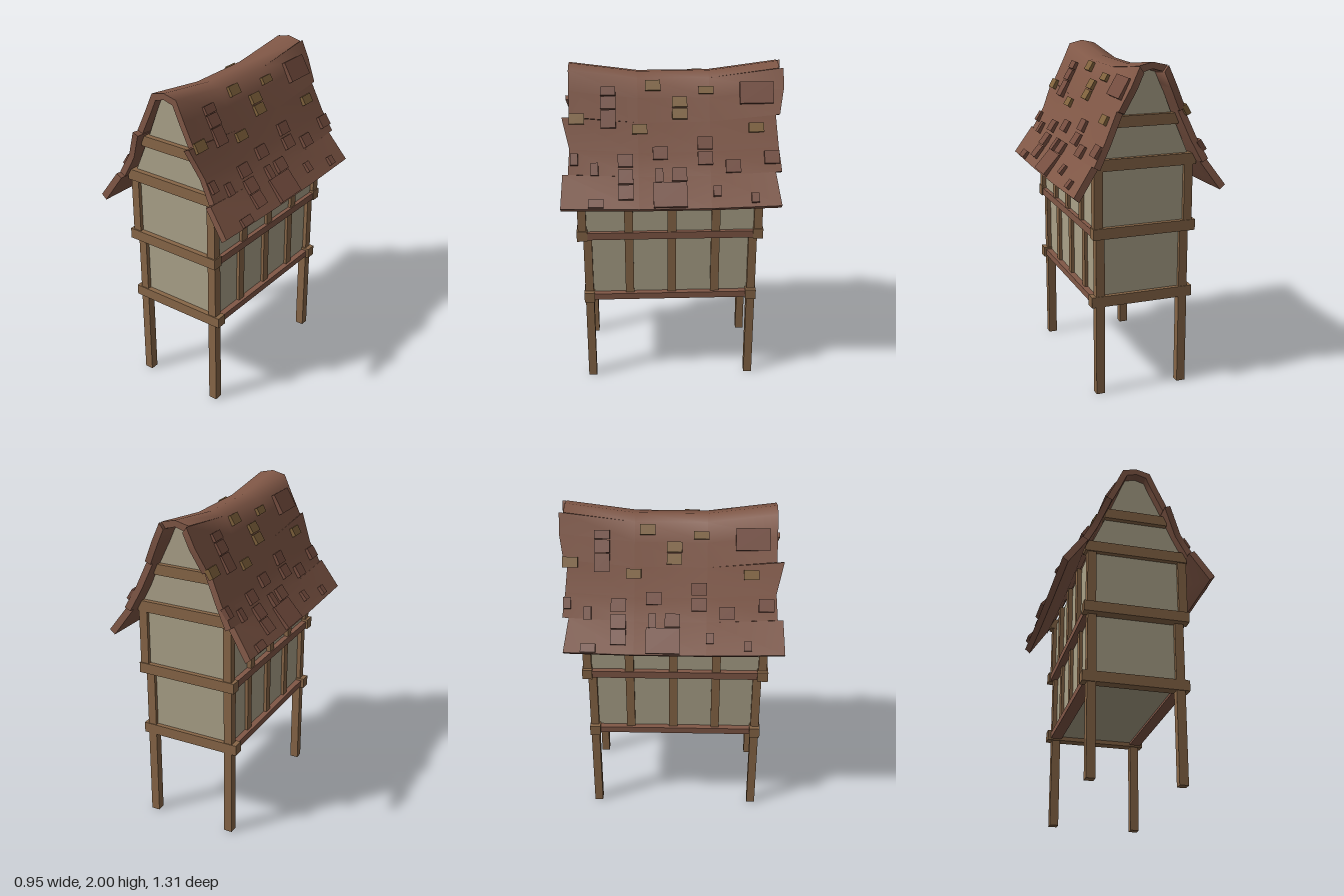
import * as THREE from 'three';
import { toCreasedNormals } from 'three/addons/utils/BufferGeometryUtils.js';

const mat = (name, color) => {
  const m = new THREE.MeshStandardMaterial({ color });
  m.name = name;
  return m;
};

// Roof half-profile at the gable ends, ridge to eave: outer and inner skin
const OUTER = [[0, 2], [0.085, 1.98], [0.135, 1.87], [0.2, 1.735], [0.275, 1.565], [0.345, 1.435], [0.462, 1.27]];
const INNER = [[0, 1.962], [0.06, 1.945], [0.1, 1.855], [0.165, 1.72], [0.24, 1.55], [0.31, 1.415], [0.43, 1.242]];
// Ragged ends of each roof strip: z at its upper and lower edge
const FRONT = [[0.6, 0.6], [0.6, 0.6], [0.6, 0.6], [0.642, 0.6], [0.6, 0.61], [0.642, 0.655]];
const BACK = [[-0.63, -0.63], [-0.655, -0.655], [-0.655, -0.63], [-0.605, -0.62], [-0.62, -0.637], [-0.6, -0.63]];

// How far the ridge sags along z (0 at the ends, 1 in the middle)
const sagAt = (z) => THREE.MathUtils.clamp(z > 0 ? 1 - (z - 0.2) / 0.4 : 1 - (-0.22 - z) / 0.41, 0, 1);
const sagged = (y, z) => y - sagAt(z) * (0.06 * y - 0.065);

function roofGeometry() {
  const pos = [];
  const quad = (a, b, c, d) => pos.push(...a, ...b, ...c, ...a, ...c, ...d);
  for (const side of [1, -1]) {
    for (let i = 0; i < 6; i++) {
      const rings = [FRONT[i], [0.2, 0.2], [-0.22, -0.22], BACK[i]].map(([zA, zB]) => {
        const ring = [[OUTER[i], zA], [OUTER[i + 1], zB], [INNER[i + 1], zB], [INNER[i], zA]]
          .map(([p, z]) => [side * p[0], sagged(p[1], z), z]);
        return side > 0 ? ring : ring.reverse();
      });
      const [f, b] = [rings[0], rings[3]];
      quad(f[0], f[3], f[2], f[1]);
      quad(b[0], b[1], b[2], b[3]);
      for (let r = 0; r < 3; r++) {
        for (let k = 0; k < 4; k++) {
          const n = (k + 1) % 4;
          quad(rings[r][k], rings[r][n], rings[r + 1][n], rings[r + 1][k]);
        }
      }
    }
  }
  const g = new THREE.BufferGeometry();
  g.setAttribute('position', new THREE.Float32BufferAttribute(pos, 3));
  g.computeVertexNormals();
  return toCreasedNormals(g, 1.05);
}

// Point on the outer roof skin at a given height and z
function onRoof(y, z) {
  const s = sagAt(z);
  const ye = (y - 0.065 * s) / (1 - 0.06 * s);
  let i = 0;
  while (i < 5 && OUTER[i + 1][1] > ye) i++;
  const [a, b] = [OUTER[i], OUTER[i + 1]];
  return new THREE.Vector2(a[0] + (b[0] - a[0]) * (ye - a[1]) / (b[1] - a[1]), y);
}

// Loose shingles: [z centre, top y, bottom y, width]
const W = 0.088, N = 0.045;
const RED_TILES = [
  [0.372, 1.885, 1.84, W], [0.372, 1.835, 1.77, W], [0.372, 1.765, 1.67, W],
  [-0.495, 1.905, 1.79, 0.196], [0.573, 1.54, 1.48, N], [0.456, 1.49, 1.425, N],
  [0.276, 1.53, 1.465, W], [0.276, 1.45, 1.38, W], [0.276, 1.375, 1.305, W],
  [0.072, 1.565, 1.5, W], [0.08, 1.455, 1.385, N], [-0.037, 1.455, 1.39, W],
  [0.018, 1.385, 1.265, 0.196], [-0.19, 1.615, 1.55, W], [-0.19, 1.535, 1.47, W],
  [-0.255, 1.365, 1.315, N], [-0.352, 1.495, 1.43, W], [-0.475, 1.33, 1.285, N],
  [-0.578, 1.54, 1.475, W], [0.45, 1.31, 1.27, W],
];
const GOLD_TILES = [
  [0.11, 1.915, 1.86, W], [-0.045, 1.825, 1.772, W], [-0.045, 1.765, 1.71, W], [-0.2, 1.88, 1.84, W],
  [0.555, 1.75, 1.695, W], [0.19, 1.685, 1.635, W], [-0.49, 1.69, 1.64, W],
];

export function createModel() {
  const plaster = mat('plaster', 0xaaa188);
  const timber = mat('timber', 0x876647);
  const roofBrown = mat('roofBrown', 0x805746);
  const tileRed = mat('tileRed', 0x754d3f);
  const tileGold = mat('tileGold', 0x80623c);
  const model = new THREE.Group();

  const add = (name, geometry, material, parent = model) => {
    const m = new THREE.Mesh(geometry, material);
    m.name = name;
    parent.add(m);
    return m;
  };
  // Box from its minimum and maximum on each axis
  const box = (name, material, x0, x1, y0, y1, z0, z1) => {
    const m = add(name, new THREE.BoxGeometry(x1 - x0, y1 - y0, z1 - z0), material);
    m.position.set((x0 + x1) / 2, (y0 + y1) / 2, (z0 + z1) / 2);
    return m;
  };

  // Plaster storeys
  box('lowerStorey', plaster, -0.258, 0.268, 0.585, 1.0, -0.49, 0.515);
  box('upperStorey', plaster, -0.27, 0.288, 1.0, 1.42, -0.517, 0.547);

  // Corner posts and stilts
  for (const [x0, x1] of [[-0.285, -0.232], [0.24, 0.293]])
    for (const [z0, z1] of [[0.49, 0.541], [-0.513, -0.462]]) box('stiltPost', timber, x0, x1, 0, 1.0, z0, z1);
  for (const [x0, x1] of [[-0.295, -0.243], [0.26, 0.313]])
    for (const [z0, z1] of [[0.52, 0.57], [-0.54, -0.49]]) box('upperPost', timber, x0, x1, 1.03, 1.4, z0, z1);

  // Cross beams on both gable ends
  for (const [z0, z1] of [[0.483, 0.547], [-0.517, -0.452]]) box('floorBeam', timber, -0.315, 0.32, 0.56, 0.625, z0, z1);
  for (const [z0, z1] of [[0.514, 0.578], [-0.546, -0.486]]) {
    box('middleBeam', timber, -0.315, 0.32, 0.985, 1.05, z0, z1);
    box('tieBeam', timber, -0.312, 0.316, 1.385, 1.453, z0, z1);
    box('collarBeam', timber, -0.195, 0.195, 1.63, 1.695, z0, z1);
  }

  // Long side rails and studs
  for (const s of [1, -1]) {
    const rail = (name, material, xIn, xOut, y0, y1, z0, z1) => {
      const a = s * xIn + 0.005, b = s * xOut + 0.005;
      box(name, material, Math.min(a, b), Math.max(a, b), y0, y1, z0, z1);
    };
    rail('lowerRail', roofBrown, 0.23, 0.3, 0.57, 0.61, -0.46, 0.49);
    rail('middleRail', roofBrown, 0.24, 0.308, 0.99, 1.035, -0.49, 0.52);
    for (const z of [0.265, 0.005, -0.26]) {
      rail('lowerStud', timber, 0.24, 0.282, 0.605, 0.995, z - 0.026, z + 0.026);
      rail('upperStud', timber, 0.26, 0.302, 1.03, 1.42, z - 0.026, z + 0.026);
    }
  }

  // Gable walls
  const gable = new THREE.Shape([
    [-0.285, 1.4], [0.3, 1.4], [0.3, 1.43], [0.165, 1.71], [0.06, 1.945], [0, 1.962], [-0.06, 1.945], [-0.155, 1.71], [-0.265, 1.46],
  ].map(([x, y]) => new THREE.Vector2(x, y)));
  const gableGeo = new THREE.ExtrudeGeometry(gable, { depth: 0.03, bevelEnabled: false });
  for (const z of [0.517, -0.517]) add('gableWall', gableGeo, plaster).position.z = z;

  // Sagging roof
  add('roof', roofGeometry(), roofBrown);

  // Shingles, repeated on the other slope by a half turn
  for (const turned of [false, true]) {
    const slope = new THREE.Group();
    slope.name = turned ? 'rightShingles' : 'leftShingles';
    if (turned) {
      slope.rotation.y = Math.PI;
      slope.position.z = -0.035;
    }
    for (const [list, material] of [[RED_TILES, tileRed], [GOLD_TILES, tileGold]]) {
      for (const [z, yTop, yBottom, width] of list) {
        const a = onRoof(yTop, z), b = onRoof(yBottom, z);
        const d = a.clone().sub(b);
        const phi = Math.atan2(-d.x, d.y);
        const tile = add('shingle', new THREE.BoxGeometry(0.03, d.length(), width), material, slope);
        tile.position.set((a.x + b.x) / 2 + Math.cos(phi) * 0.004, (a.y + b.y) / 2 + Math.sin(phi) * 0.004, z);
        tile.rotation.z = phi + 0.08;
      }
    }
    model.add(slope);
  }
  return model;
}
